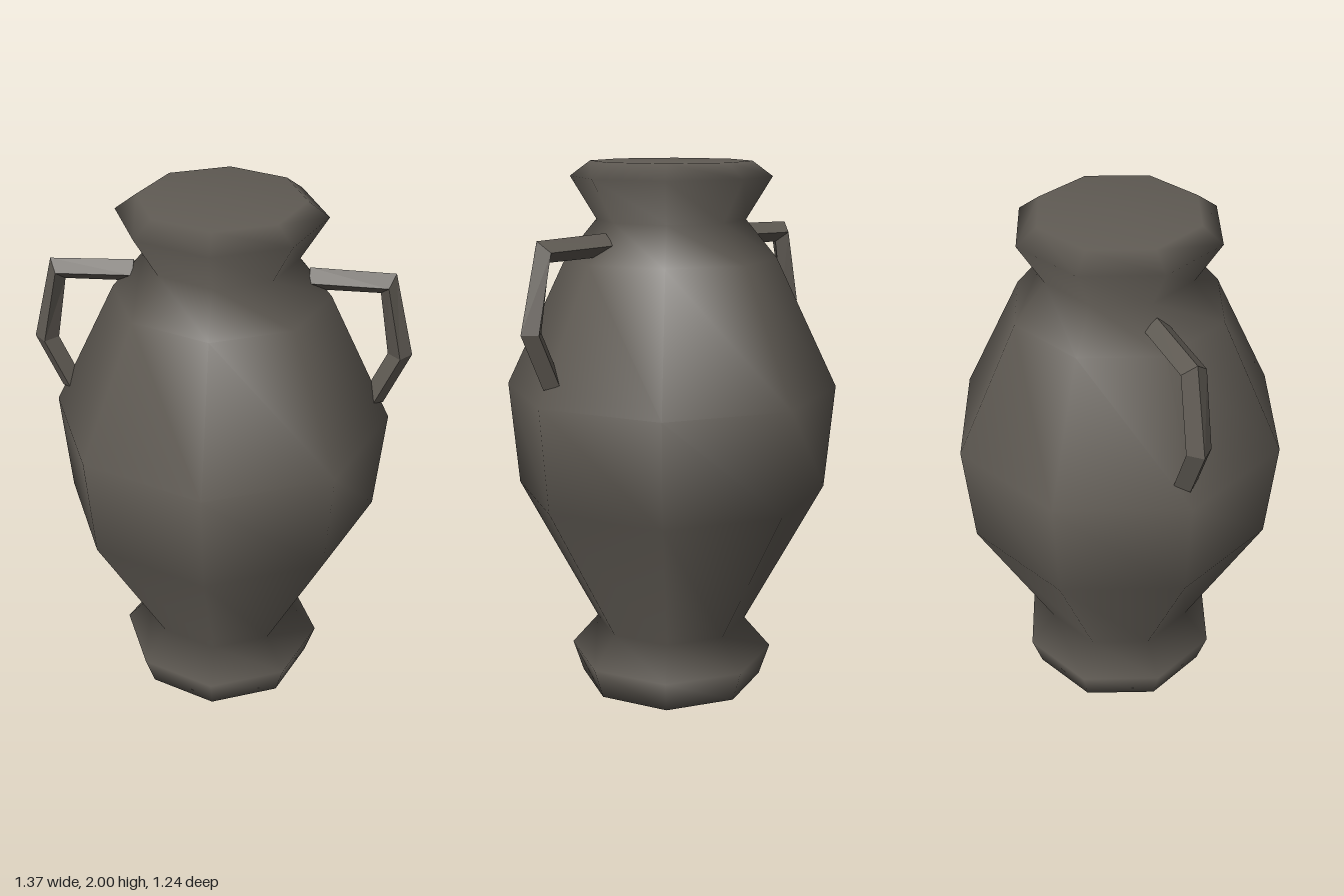
import * as THREE from 'three';

const clay = new THREE.MeshStandardMaterial({ color: 0x605b54 });
clay.name = 'darkClay';

// Closed eight-sided body, from the foot up to the capped lip
function makeBody() {
  const profile = [
    [0, 0], [0.35, 0], [0.39, 0.12], [0.29, 0.235], [0.585, 0.78],
    [0.62, 1.17], [0.39, 1.65], [0.275, 1.79], [0.37, 1.945], [0.295, 2], [0, 2],
  ].map(([r, y]) => new THREE.Vector2(r, y));
  const body = new THREE.Mesh(new THREE.LatheGeometry(profile, 8), clay);
  body.name = 'vaseBody';
  return body;
}

// Angular handle: a diamond section swept between an outer and an inner ridge
function makeHandleGeometry() {
  const outer = [[0.31, 1.757], [0.61, 1.748], [0.687, 1.435], [0.597, 1.232]];
  const inner = [[0.31, 1.675], [0.56, 1.672], [0.6, 1.435], [0.525, 1.267]];
  const halfWidth = 0.046;
  const positions = [];
  const index = [];
  outer.forEach(([ox, oy], i) => {
    const [ix, iy] = inner[i];
    const mx = (ox + ix) / 2, my = (oy + iy) / 2;
    positions.push(ox, oy, 0, mx, my, halfWidth, ix, iy, 0, mx, my, -halfWidth);
  });
  for (let i = 0; i < outer.length - 1; i++) {
    for (let j = 0; j < 4; j++) {
      const k = (j + 1) % 4;
      const a = i * 4 + j, b = i * 4 + k;
      index.push(a, b, b + 4, a, b + 4, a + 4);
    }
  }
  // End caps
  const e = (outer.length - 1) * 4;
  index.push(0, 2, 1, 0, 3, 2, e, e + 1, e + 2, e, e + 2, e + 3);

  const indexed = new THREE.BufferGeometry();
  indexed.setAttribute('position', new THREE.Float32BufferAttribute(positions, 3));
  indexed.setIndex(index);
  const geometry = indexed.toNonIndexed();
  geometry.computeVertexNormals();
  return geometry;
}

export function createModel() {
  const vase = new THREE.Group();
  vase.name = 'vase';
  vase.add(makeBody());

  // The same handle on both sides
  const handleGeometry = makeHandleGeometry();
  ['leftHandle', 'rightHandle'].forEach((name, i) => {
    const handle = new THREE.Mesh(handleGeometry, clay);
    handle.name = name;
    handle.rotation.y = i * Math.PI;
    vase.add(handle);
  });
  return vase;
}
